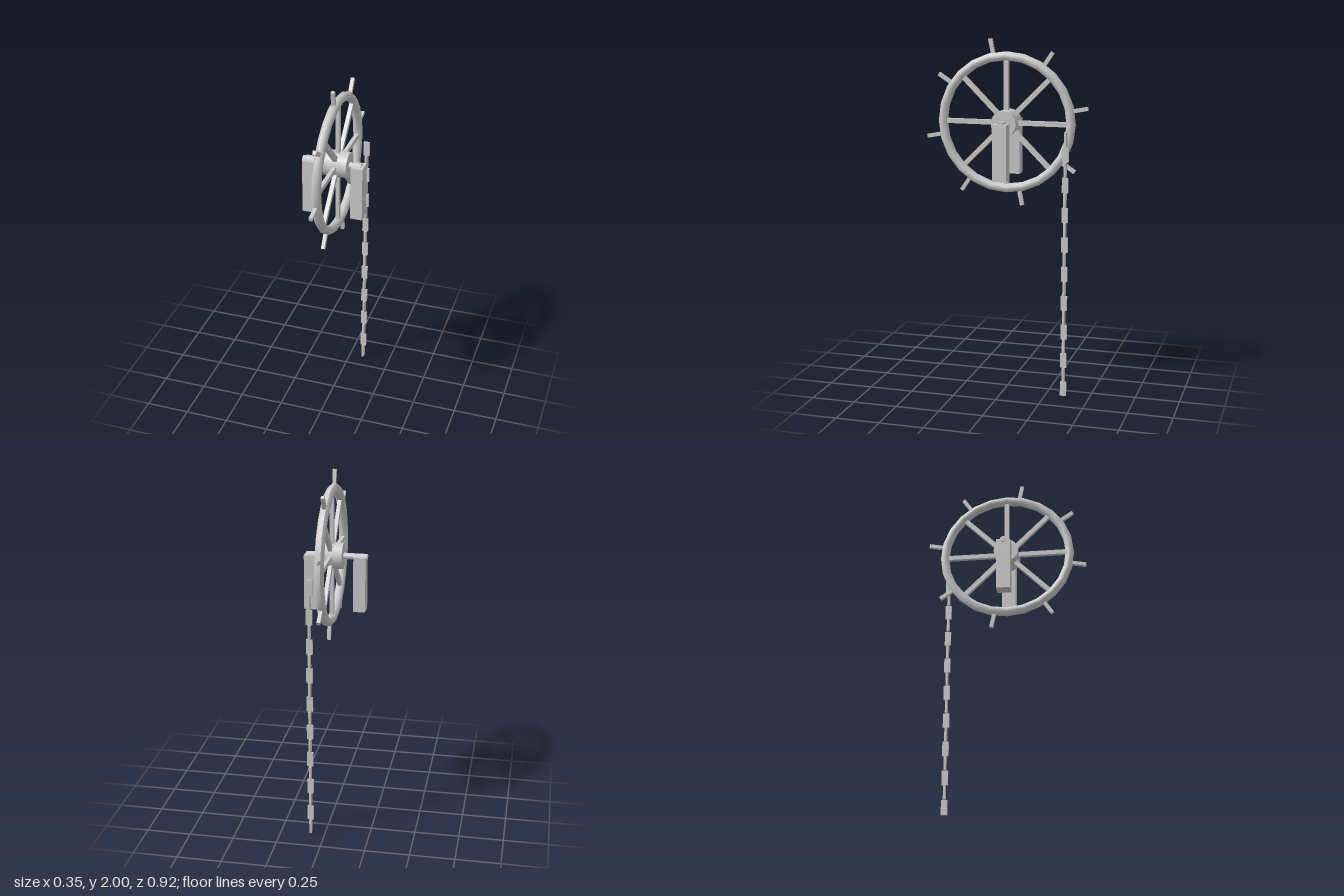
import * as THREE from 'three';

const material = new THREE.MeshStandardMaterial({ color: 0xcccccc });
const AXIS_Y = 1.538;  // height of the axle
const WHEEL_X = 0.024; // plane of the wheel

function add(parent, name, geometry, x = 0, y = 0, z = 0) {
  const mesh = new THREE.Mesh(geometry, material);
  mesh.name = name;
  mesh.position.set(x, y, z);
  parent.add(mesh);
  return mesh;
}

// Bar pointing outward from the wheel axis at an angle about x
function radialBar(parent, name, angle, inner, outer, width, depth) {
  const geometry = new THREE.BoxGeometry(width, outer - inner, depth);
  geometry.translate(0, (inner + outer) / 2, 0);
  add(parent, name, geometry).rotation.x = angle;
}

export function createModel() {
  const model = new THREE.Group();
  model.name = 'chainWheel';

  const wheel = new THREE.Group();
  wheel.name = 'wheel';
  wheel.position.set(WHEEL_X, AXIS_Y, 0);
  model.add(wheel);

  // Rim: an eight-sided section turned around the axle
  const section = [];
  for (let i = 0; i <= 8; i++) {
    const a = ((i + 0.5) / 8) * Math.PI * 2;
    section.push(new THREE.Vector2(0.367 + 0.026 * Math.cos(a), 0.026 * Math.sin(a)));
  }
  add(wheel, 'rim', new THREE.LatheGeometry(section, 24)).rotation.z = Math.PI / 2;

  // Hub
  add(wheel, 'hub', new THREE.CylinderGeometry(0.072, 0.072, 0.132, 16)).rotation.z = Math.PI / 2;

  // Spokes, with handles set a quarter step away from them
  for (let i = 0; i < 8; i++) {
    const angle = (i * Math.PI) / 4;
    radialBar(wheel, 'spoke', angle, 0.05, 0.36, 0.022, 0.027);
    radialBar(wheel, 'handle', angle + Math.PI / 16, 0.375, 0.469, 0.02, 0.021);
  }

  // Axle resting in two posts
  add(model, 'axle', new THREE.CylinderGeometry(0.018, 0.018, 0.332, 12), -0.009, AXIS_Y, 0)
    .rotation.z = Math.PI / 2;
  for (const x of [-0.135, 0.14]) {
    add(model, 'post', new THREE.BoxGeometry(0.067, 0.312, 0.08), x, 1.386, 0);
  }

  // Hanging chain of flat links, each turned a quarter from the last
  const chain = new THREE.Group();
  chain.name = 'chain';
  chain.position.set(0.082, 0, -0.35);
  model.add(chain);
  const linkLength = 1.505 / 18;
  const linkGeometry = new THREE.BoxGeometry(0.012, linkLength, 0.035);
  for (let i = 0; i < 18; i++) {
    add(chain, 'link', linkGeometry, 0, (i + 0.5) * linkLength, 0).rotation.y = (i % 2) * Math.PI / 2;
  }

  return model;
}
